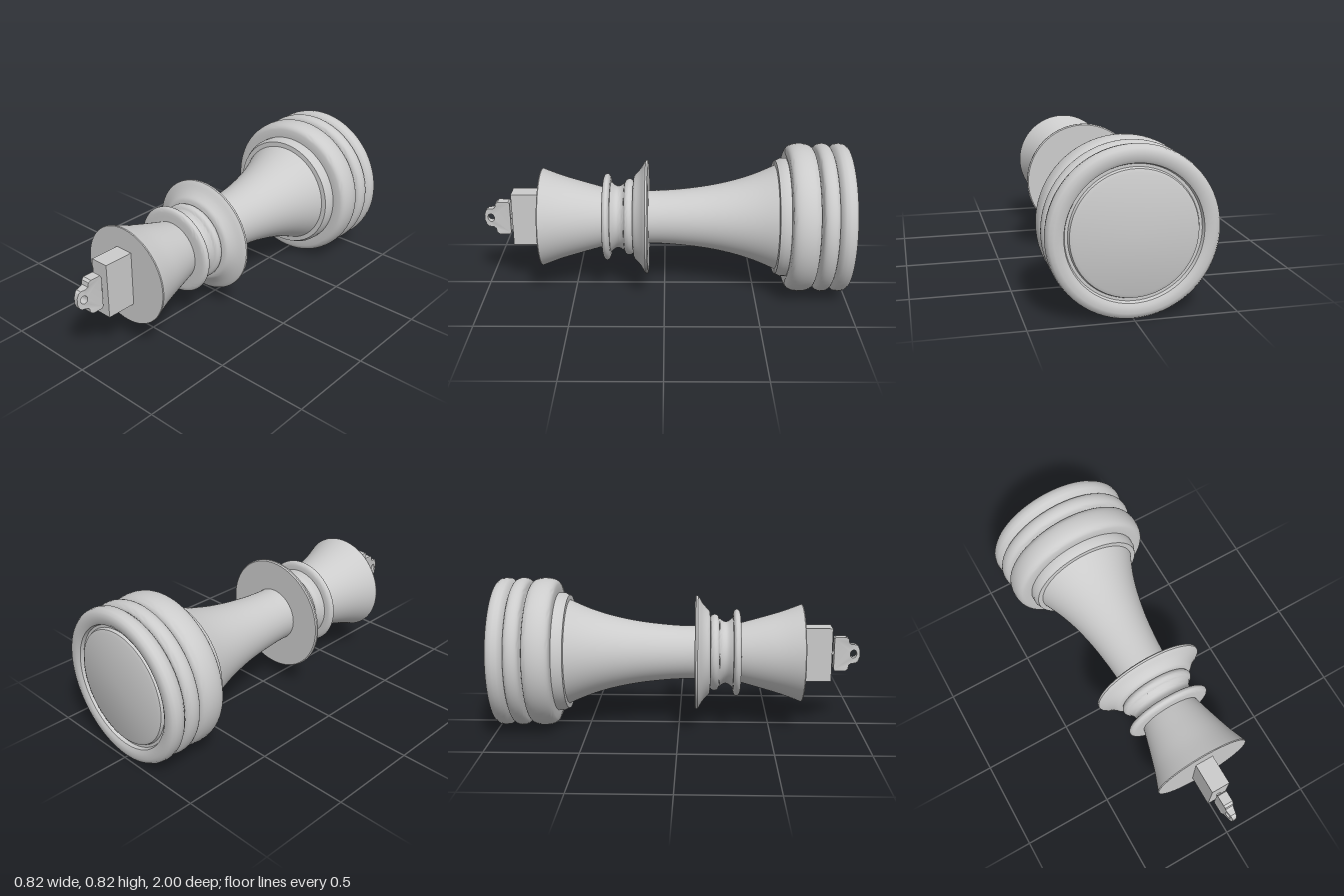
import * as THREE from 'three';
import { toCreasedNormals } from 'three/addons/utils/BufferGeometryUtils.js';

const AXIS_Y = 0.412;

// Rounded bead along the axis, from a to b, swelling from inner to outer radius
function bead(a, b, inner, outer, n = 12, power = 0.65) {
  const pts = [];
  for (let i = 0; i <= n; i++) {
    const t = (i / n) * Math.PI;
    pts.push([inner + (outer - inner) * Math.pow(Math.max(0, Math.sin(t)), power), (a + b) / 2 - ((b - a) / 2) * Math.cos(t)]);
  }
  return pts;
}

// Smooth curve through [radius, position] points
function smooth(points, n = 20) {
  const curve = new THREE.SplineCurve(points.map(p => new THREE.Vector2(...p)));
  return curve.getPoints(n).map(p => [p.x, p.y]);
}

export function createModel() {
  const model = new THREE.Group();
  const material = new THREE.MeshStandardMaterial({ color: 0xcccccc });

  function add(name, geometry) {
    const mesh = new THREE.Mesh(geometry, material);
    mesh.name = name;
    mesh.position.y = AXIS_Y;
    model.add(mesh);
  }

  // Turned part: profile runs from back to front, axis laid along z
  function turned(name, profile) {
    const geo = new THREE.LatheGeometry(profile.map(p => new THREE.Vector2(...p)), 72);
    geo.rotateX(Math.PI / 2);
    add(name, toCreasedNormals(geo, 0.7));
  }

  // Base: inset underside disc, three beads and a stepped shoulder
  turned('base', [
    [0, -0.992], [0.285, -0.992], [0.302, -0.985], [0.308, -0.97],
    [0.322, -0.97], [0.328, -0.988], [0.345, -0.998], [0.375, -0.999],
    [0.395, -0.993], [0.406, -0.978], [0.41, -0.955], [0.406, -0.932], [0.392, -0.915],
    ...bead(-0.905, -0.82, 0.365, 0.41),
    ...bead(-0.812, -0.665, 0.345, 0.41, 16, 0.5),
    [0.328, -0.665], [0.328, -0.635], [0.319, -0.618], [0.315, -0.607], [0.28, -0.605],
  ]);

  // Stem: flares towards the base
  turned('stem', smooth([
    [0.29, -0.61], [0.243, -0.5], [0.205, -0.38], [0.175, -0.24],
    [0.157, -0.1], [0.148, 0.02], [0.147, 0.1],
  ], 28));

  // Collar: broad dished disc
  turned('collar', [
    [0.1, 0.088], [0.31, 0.088], [0.316, 0.094], [0.315, 0.104],
    ...smooth([[0.304, 0.112], [0.272, 0.13], [0.248, 0.15], [0.232, 0.166], [0.215, 0.172]], 10),
    [0.17, 0.174],
  ]);

  // Neck: small bead, hollow and thin ring
  turned('neck', [
    ...bead(0.168, 0.222, 0.17, 0.212),
    ...smooth([[0.19, 0.222], [0.174, 0.245], [0.174, 0.268], [0.195, 0.296]], 10),
    ...bead(0.296, 0.338, 0.195, 0.241),
    [0.16, 0.34],
  ]);

  // Head: flared cup with a flat top
  turned('head', [
    ...smooth([[0.164, 0.335], [0.174, 0.37], [0.199, 0.46], [0.232, 0.57], [0.27, 0.672]], 18),
    [0.268, 0.677], [0, 0.677],
  ]);

  // Block on top of the head
  const block = new THREE.BoxGeometry(0.102, 0.3, 0.17);
  block.translate(0, 0, 0.755);
  add('topBlock', block);

  // Short pin joining block and finial
  const pin = new THREE.CylinderGeometry(0.012, 0.012, 0.04, 16);
  pin.rotateX(Math.PI / 2);
  pin.translate(0, 0, 0.848);
  add('finialPin', pin);

  // Finial: stepped outline with an eyelet, thinning to the tip
  const half = [
    [0.855, 0.086], [0.862, 0.095], [0.92, 0.095], [0.934, 0.085], [0.938, 0.062],
    [0.95, 0.054], [0.978, 0.052], [0.99, 0.042], [0.999, 0.018],
  ];
  const outline = [...half.map(([z, y]) => [z, -y]), ...half.slice().reverse()];
  const shape = new THREE.Shape(outline.map(p => new THREE.Vector2(...p)));
  const hole = new THREE.Path();
  hole.absellipse(0.963, 0, 0.019, 0.023, 0, Math.PI * 2, true);
  shape.holes.push(hole);
  const finial = new THREE.ExtrudeGeometry(shape, { depth: 0.054, bevelEnabled: false, curveSegments: 10 });
  finial.translate(0, 0, -0.027);
  finial.rotateY(-Math.PI / 2);
  const pos = finial.attributes.position;
  for (let i = 0; i < pos.count; i++) {
    const t = THREE.MathUtils.clamp((pos.getZ(i) - 0.92) / 0.08, 0, 1);
    pos.setX(i, pos.getX(i) * (1 - 0.58 * t));
  }
  add('finial', toCreasedNormals(finial, 0.5));

  return model;
}
